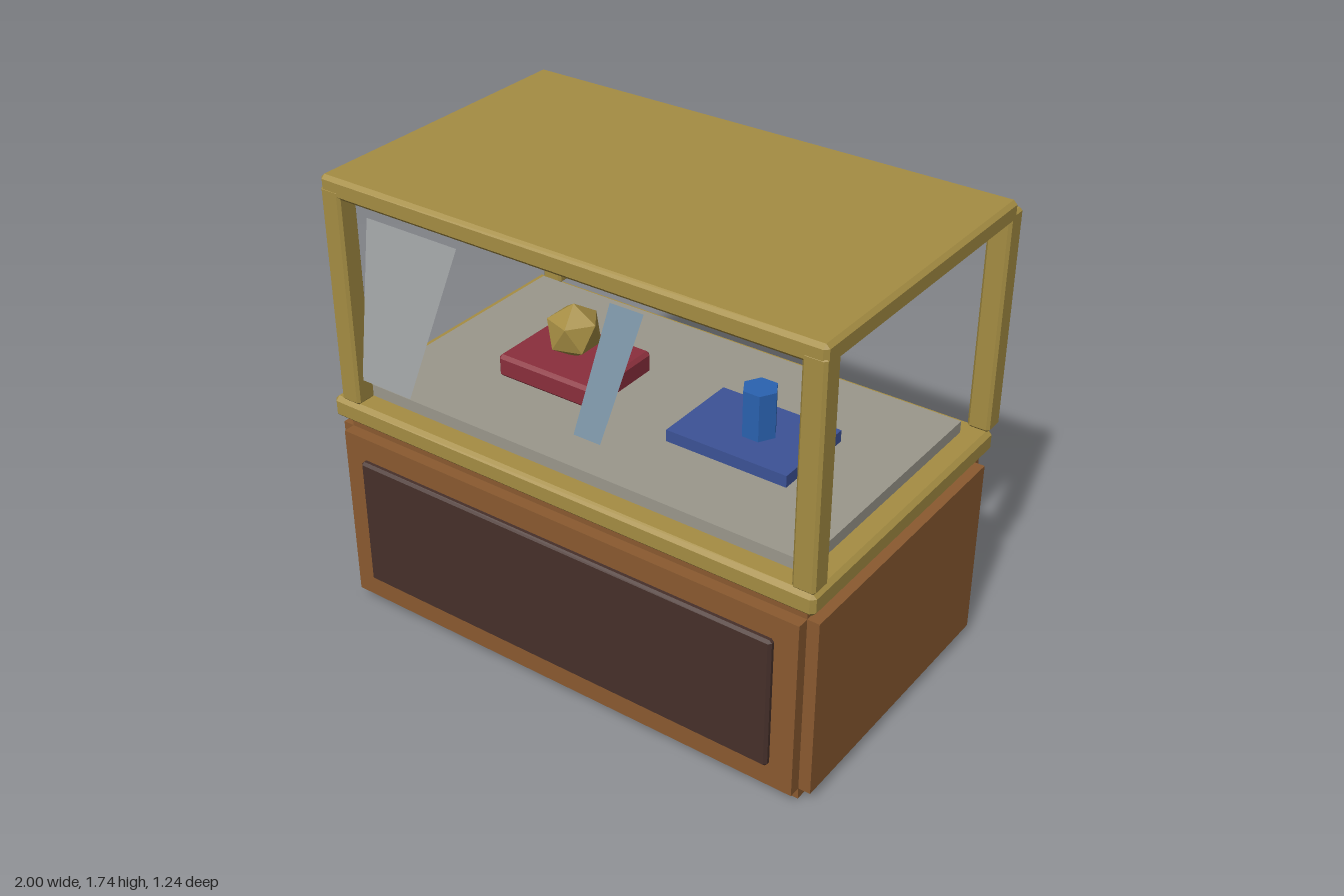
import * as THREE from 'three';
import { ConvexGeometry } from 'three/addons/geometries/ConvexGeometry.js';

const mat = (color, side = THREE.FrontSide) =>
  new THREE.MeshStandardMaterial({ color, flatShading: true, side });

const GOLD = mat(0xa58d43);
const WOOD = mat(0x8a5a30);
const PANEL = mat(0x46302a);
const STONE = mat(0x9b988c);
const RED = mat(0x8a2f3c);
const NAVY = mat(0x3c5296);
const BLUE = mat(0x2a62b0);

export function createModel() {
  const model = new THREE.Group();

  const add = (name, geometry, material, parent = model) => {
    const mesh = new THREE.Mesh(geometry, material);
    mesh.name = name;
    parent.add(mesh);
    return mesh;
  };

  // Box between two limits per axis; a chamfer c > 0 cuts all its edges
  const block = (name, [x0, x1], [y0, y1], [z0, z1], material, c = 0, parent = model) => {
    const half = [(x1 - x0) / 2, (y1 - y0) / 2, (z1 - z0) / 2];
    let geometry;
    if (c > 0) {
      const points = [];
      for (const sx of [-1, 1]) for (const sy of [-1, 1]) for (const sz of [-1, 1])
        for (let outer = 0; outer < 3; outer++) {
          const p = half.map((h, i) => (i === outer ? h : h - c));
          points.push(new THREE.Vector3(sx * p[0], sy * p[1], sz * p[2]));
        }
      geometry = new ConvexGeometry(points);
    } else {
      geometry = new THREE.BoxGeometry(half[0] * 2, half[1] * 2, half[2] * 2);
    }
    const mesh = add(name, geometry, material, parent);
    mesh.position.set((x0 + x1) / 2, (y0 + y1) / 2, (z0 + z1) / 2);
    return mesh;
  };

  // Wooden cabinet with stepped, notched edges
  const cabinet = new THREE.Group();
  cabinet.name = 'cabinet';
  model.add(cabinet);
  block('cabinetSides', [-1, 1], [0.045, 0.742], [-0.53, 0.555], WOOD, 0, cabinet);
  block('cabinetFrontBack', [-0.955, 0.955], [0.045, 0.742], [-0.575, 0.6], WOOD, 0, cabinet);
  block('cabinetCore', [-0.955, 0.955], [0, 0.79], [-0.53, 0.555], WOOD, 0, cabinet);
  block('frontPanel', [-0.87, 0.867], [0.135, 0.652], [0.59, 0.622], PANEL, 0.01);

  // Gold counter rim and display tray
  block('counterRim', [-1, 1], [0.786, 0.87], [-0.575, 0.597], GOLD, 0.016);
  block('tray', [-0.915, 0.915], [0.86, 0.915], [-0.487, 0.511], STONE);

  // Four posts and the lid
  for (const x of [-0.955, 0.915])
    for (const z of [-0.615, 0.514])
      block('post', [x, x + 0.084], [0.872, 1.696], [z, z + 0.084], GOLD, 0.01);
  block('lid', [-0.955, 0.999], [1.66, 1.737], [-0.575, 0.597], GOLD, 0.014);

  // Red cushion with a faceted gem, standing on a vertex
  block('cushion', [-0.563, -0.137], [0.915, 1.003], [-0.136, 0.205], RED, 0.013);
  const gemShape = new THREE.IcosahedronGeometry(0.106, 0);
  gemShape.rotateZ(Math.atan2(2, 1 + Math.sqrt(5)));
  gemShape.rotateY(Math.PI);
  add('gem', gemShape, GOLD).position.set(-0.35, 1.093, 0.033);

  // Blue plate with a hexagonal pillar
  block('plate', [0.171, 0.648], [0.91, 0.96], [-0.136, 0.205], NAVY);
  const pillar = new THREE.CylinderGeometry(0.064, 0.064, 0.175, 6);
  pillar.rotateY(Math.PI / 6);
  add('pillar', pillar, BLUE).position.set(0.431, 1.0475, 0.035);

  // Remaining shards of the broken front pane
  const shard = (name, corners, color) => {
    const shape = new THREE.Shape(corners.map(([x, y]) => new THREE.Vector2(x, y)));
    add(name, new THREE.ShapeGeometry(shape), mat(color, THREE.DoubleSide)).position.z = 0.565;
  };
  shard('largeShard', [[-0.875, 0.963], [-0.652, 0.963], [-0.393, 1.615], [-0.782, 1.615]], 0xa9adae);
  shard('smallShard', [[0.064, 1.087], [0.171, 1.087], [0.346, 1.615], [0.219, 1.615]], 0x88a2b5);

  return model;
}
